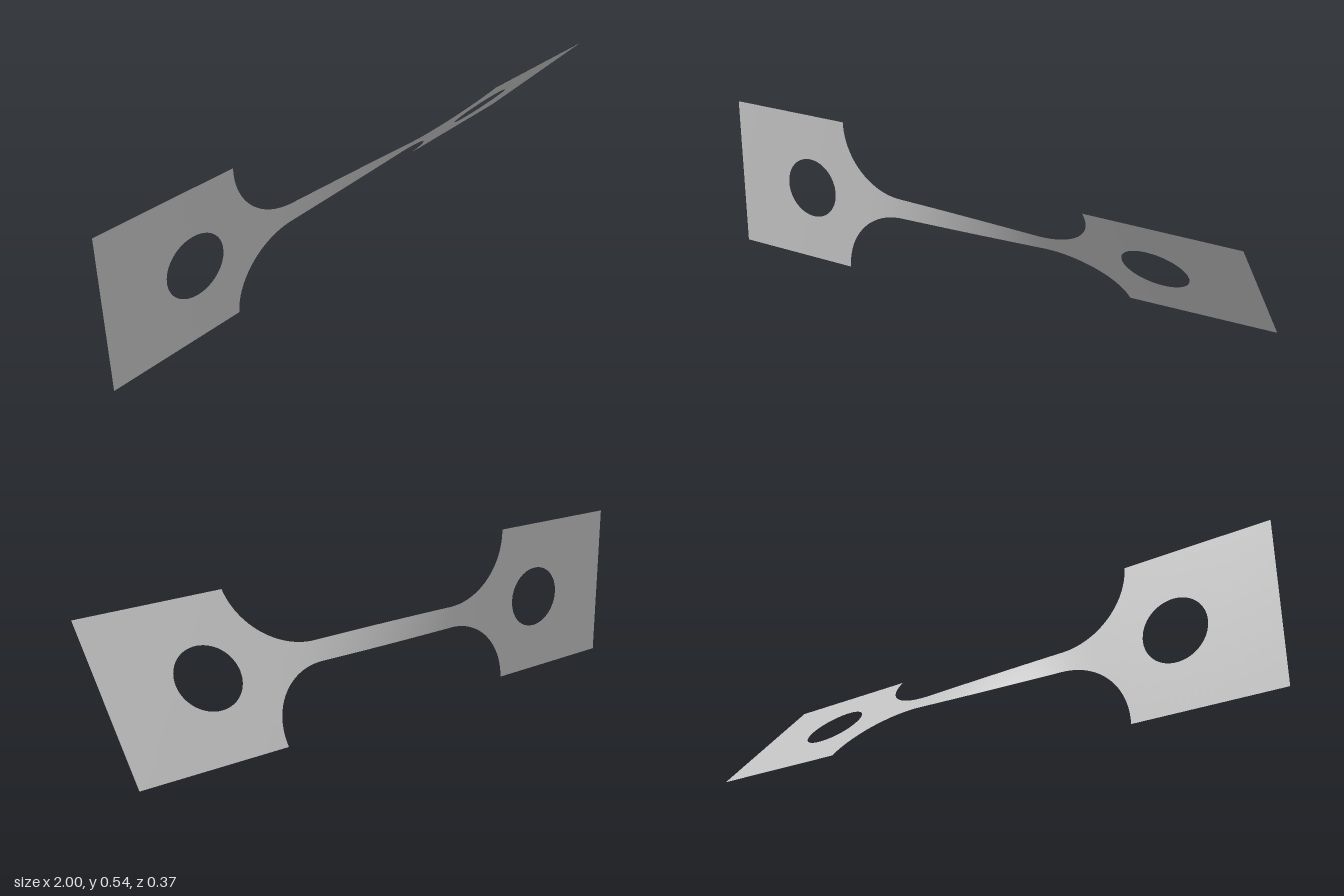
import * as THREE from 'three';
import { mergeVertices } from 'three/addons/utils/BufferGeometryUtils.js';

const HALF = 0.271;      // half width of the end plates, also height of the axis
const FILLET = 0.235;    // radius of the round shoulders
const INNER = 0.51;      // where plate and shoulder meet
const START = INNER - FILLET;
const HOLE_X = 0.669, HOLE_R = 0.108;
const ACROSS = 16;

// Twist about the long axis: steady along the neck, easing off in the shoulders
function twist(x) {
  const u = Math.abs(x);
  let deg;
  if (u < START) deg = 58 * u;
  else if (u < INNER) deg = 15.95 + 4.1 * (1 - Math.pow(1 - (u - START) / FILLET, 3));
  else deg = 20.05 + 3 * (u - INNER);
  return THREE.MathUtils.degToRad(21.6 + Math.sign(x) * deg);
}

// Place a point of the flat sheet on the twisted sheet
function place(x, s) {
  const a = twist(x);
  return [x, HALF + s * Math.cos(a), s * Math.sin(a)];
}

// Join rows of flat points into one smooth twisted sheet
function sheet(rows) {
  const n = rows[0].length, pos = [], index = [];
  rows.forEach(row => row.forEach(([x, s]) => pos.push(...place(x, s))));
  for (let i = 0; i < rows.length - 1; i++) {
    for (let j = 0; j < n - 1; j++) {
      const a = i * n + j, b = a + n;
      index.push(a, b, b + 1, a, b + 1, a + 1);
    }
  }
  let geo = new THREE.BufferGeometry();
  geo.setAttribute('position', new THREE.Float32BufferAttribute(pos, 3));
  geo.setIndex(index);
  geo = mergeVertices(geo, 1e-5);
  geo.computeVertexNormals();
  return geo;
}

// Neck with the four concave shoulders
function neckRows() {
  const half = [];
  for (let i = 1; i <= 10; i++) half.push([START * i / 10, HALF - FILLET]);
  for (let i = 1; i <= 24; i++) {
    const t = (i / 24) * Math.PI / 2;
    half.push([START + FILLET * Math.sin(t), HALF - FILLET * Math.cos(t)]);
  }
  const stations = [
    ...half.map(([x, w]) => [-x, w]).reverse(),
    [0, HALF - FILLET],
    ...half,
  ];
  return stations.map(([x, w]) =>
    Array.from({ length: ACROSS + 1 }, (_, j) => [x, w * (2 * j / ACROSS - 1)]));
}

// End plate: rings from the round hole out to the rectangular edge
function plateRows(side) {
  const x0 = side > 0 ? INNER : -1, x1 = side > 0 ? 1 : -INNER;
  const cx = side * HOLE_X;
  const corners = [[x0, -HALF], [x1, -HALF], [x1, HALF], [x0, HALF]];
  const edge = [];
  corners.forEach((c, k) => {
    const d = corners[(k + 1) % 4];
    for (let i = 0; i < ACROSS; i++) {
      const t = i / ACROSS;
      edge.push([c[0] + (d[0] - c[0]) * t, c[1] + (d[1] - c[1]) * t]);
    }
  });
  edge.push(edge[0]);
  const rows = [];
  for (let r = 0; r <= 6; r++) {
    const f = r / 6;
    rows.push(edge.map(([x, s]) => {
      const a = Math.atan2(s, x - cx);
      const hx = cx + HOLE_R * Math.cos(a), hs = HOLE_R * Math.sin(a);
      return [hx + (x - hx) * f, hs + (s - hs) * f];
    }));
  }
  return rows;
}

export function createModel() {
  const group = new THREE.Group();
  group.name = 'twistedStrip';
  const metal = new THREE.MeshStandardMaterial({ color: 0xc0c0c0, side: THREE.DoubleSide });
  metal.name = 'light grey metal';

  const add = (name, rows) => {
    const mesh = new THREE.Mesh(sheet(rows), metal);
    mesh.name = name;
    group.add(mesh);
  };
  add('neck', neckRows());
  add('leftPlate', plateRows(1));
  add('rightPlate', plateRows(-1));
  return group;
}
